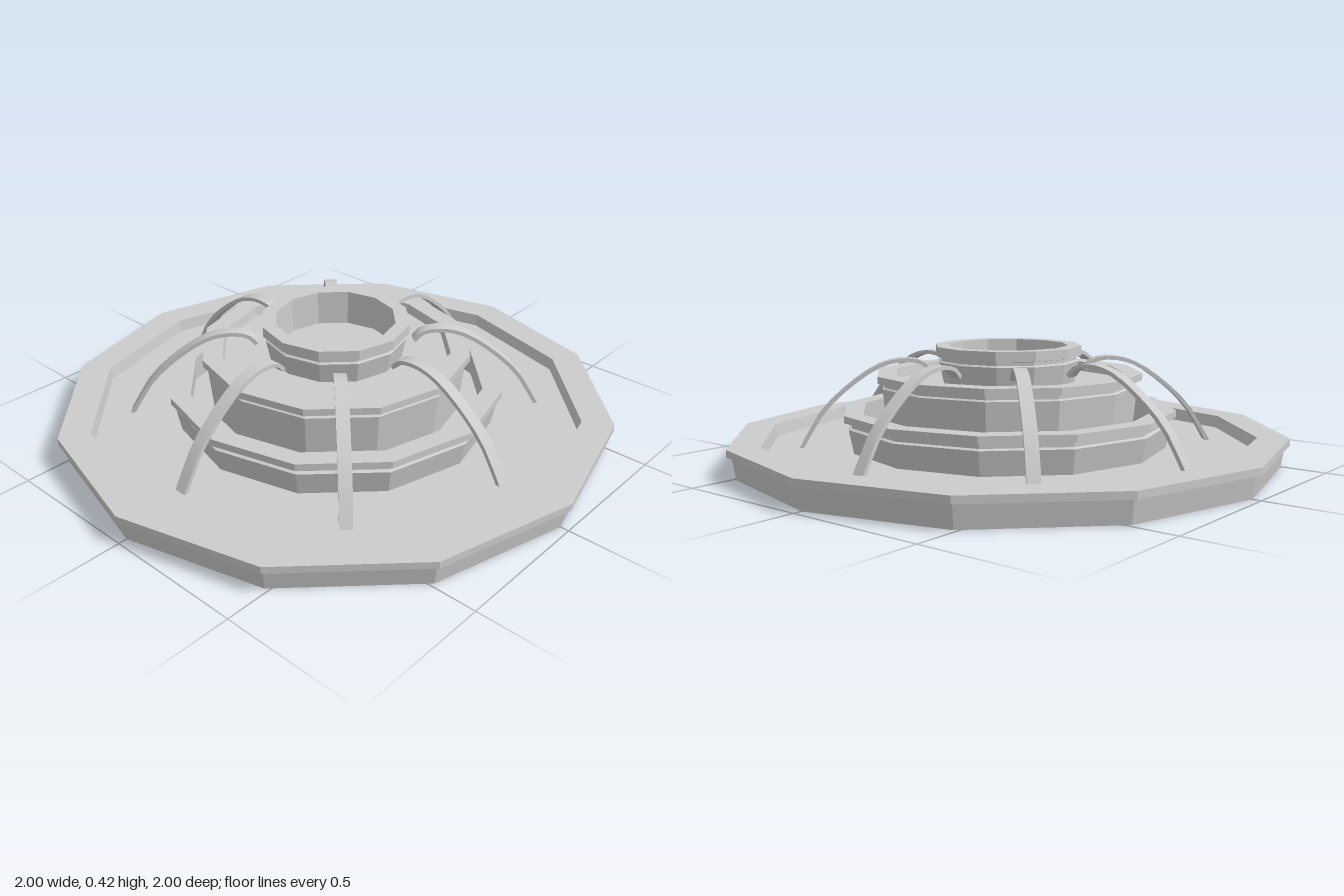
import * as THREE from 'three';

const SIDES = 12;
const stone = new THREE.MeshStandardMaterial({ color: 0xcccccc, flatShading: true, side: THREE.DoubleSide });
const smooth = new THREE.MeshStandardMaterial({ color: 0xcccccc, side: THREE.DoubleSide });

// Twelve-sided turned part from [radius, height] pairs
function turned(name, profile) {
  const points = profile.map(([r, y]) => new THREE.Vector2(r, y));
  const mesh = new THREE.Mesh(new THREE.LatheGeometry(points, SIDES), stone);
  mesh.name = name;
  return mesh;
}

// Arched ribbon of water: a long box bent along a curve in the x-y plane
function jetGeometry() {
  const path = new THREE.CatmullRomCurve3([
    [0.28, 0.33], [0.31, 0.36], [0.38, 0.37], [0.46, 0.35], [0.56, 0.285], [0.66, 0.19], [0.745, 0.05],
  ].map(([x, y]) => new THREE.Vector3(x, y, 0)));
  const geometry = new THREE.BoxGeometry(1, 0.014, 0.045, 14, 1, 1);
  const pos = geometry.attributes.position;
  for (let i = 0; i < pos.count; i++) {
    const t = THREE.MathUtils.clamp(pos.getX(i) + 0.5, 0, 1);
    const p = path.getPoint(t);
    const d = path.getTangent(t);
    const h = pos.getY(i);
    pos.setXYZ(i, p.x - d.y * h, p.y + d.x * h, pos.getZ(i));
  }
  geometry.computeVertexNormals();
  return geometry;
}

export function createModel() {
  const fountain = new THREE.Group();
  fountain.name = 'fountain';

  // Wide basin, hollow underneath, with its floor running to the centre
  fountain.add(turned('baseBasin', [
    [0.97, 0], [0.983, 0.08], [1, 0.08], [1, 0.105], [0.887, 0.105], [0.88, 0.06], [0, 0.06],
  ]));

  // Second tier: a low ring with a narrow trough
  fountain.add(turned('lowerTier', [
    [0.565, 0.035], [0.587, 0.145], [0.575, 0.15], [0.575, 0.167], [0.603, 0.17],
    [0.603, 0.195], [0.533, 0.195], [0.54, 0.1], [0.44, 0.1],
  ]));

  // Third tier: a tall drum with a shallow recessed top
  fountain.add(turned('middleTier', [
    [0.44, 0.03], [0.465, 0.28], [0.457, 0.285], [0.457, 0.3], [0.482, 0.3],
    [0.482, 0.325], [0.413, 0.325], [0.408, 0.29], [0, 0.29],
  ]));

  // Top bowl
  fountain.add(turned('topBowl', [
    [0.24, 0.29], [0.255, 0.365], [0.247, 0.37], [0.247, 0.382], [0.265, 0.385],
    [0.265, 0.42], [0.215, 0.42], [0.21, 0.295], [0, 0.295],
  ]));

  // Eight water jets arching into the basin
  const jets = new THREE.Group();
  jets.name = 'waterJets';
  const geometry = jetGeometry();
  for (let i = 0; i < 8; i++) {
    const jet = new THREE.Mesh(geometry, smooth);
    jet.name = 'waterJet' + (i + 1);
    jet.rotation.y = (i * Math.PI) / 4;
    jets.add(jet);
  }
  fountain.add(jets);

  return fountain;
}
